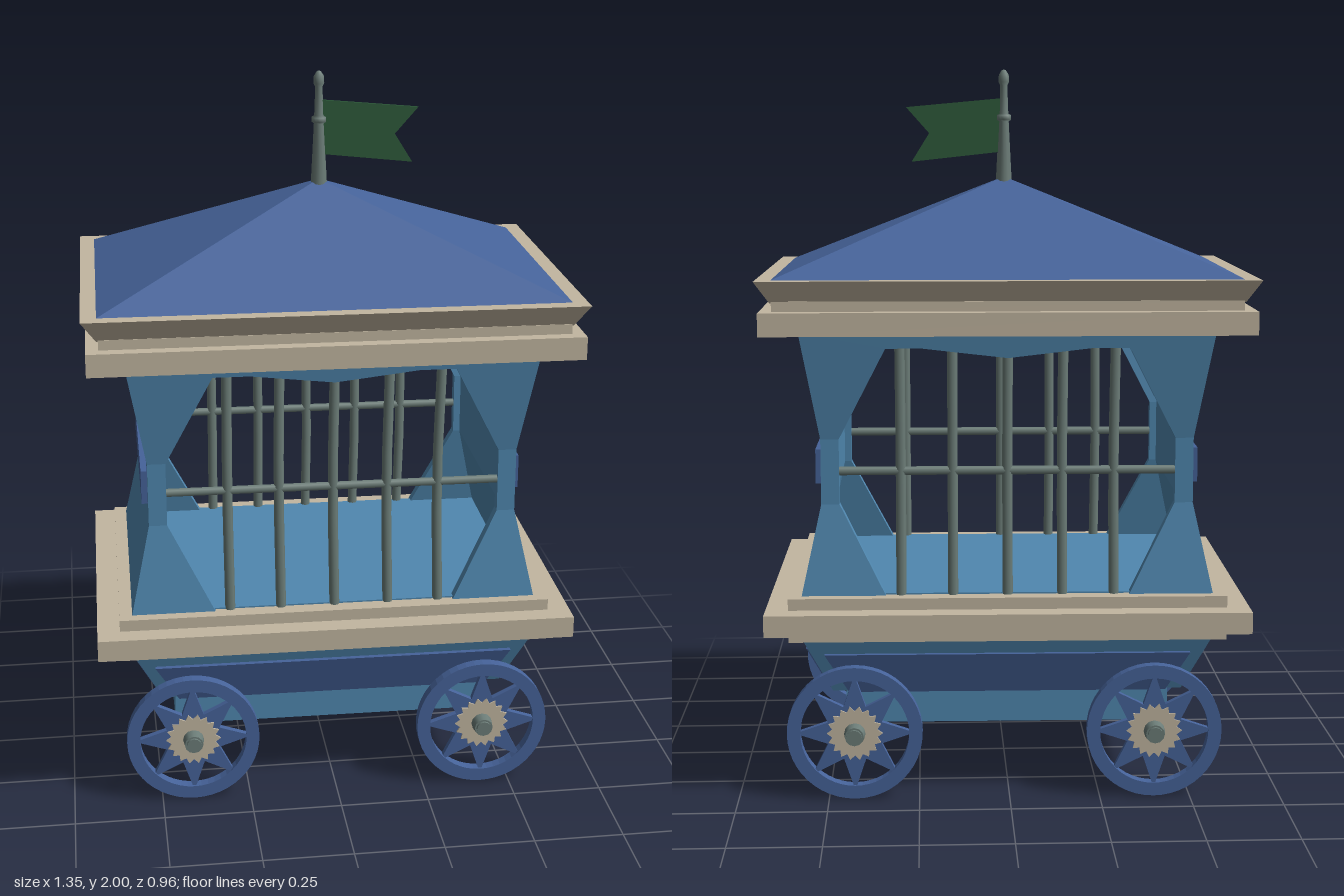
import * as THREE from 'three';

const mat = (name, color) => {
  const m = new THREE.MeshStandardMaterial({ color });
  m.name = name;
  return m;
};

export function createModel() {
  const blue = mat('wall blue', 0x5088b0), navy = mat('roof navy', 0x46639a);
  const beige = mat('trim beige', 0xc2b6a1), iron = mat('iron grey', 0x6c7d78);
  const green = mat('flag green', 0x2d5a3a), gold = mat('gold', 0xd6a143);

  const wagon = new THREE.Group();
  wagon.name = 'wagon';
  const add = (name, geo, material, parent = wagon) => {
    const m = new THREE.Mesh(geo, material);
    m.name = name;
    parent.add(m);
    return m;
  };

  // Four-sided block with different half sizes at bottom and top
  const block = (name, y0, y1, [x0, z0], [x1, z1], material) => {
    const geo = new THREE.BoxGeometry(2, 1, 2);
    const p = geo.attributes.position;
    for (let i = 0; i < p.count; i++) {
      const top = p.getY(i) > 0;
      p.setXYZ(i, p.getX(i) * (top ? x1 : x0), top ? y1 : y0, p.getZ(i) * (top ? z1 : z0));
    }
    geo.computeVertexNormals();
    return add(name, geo, material);
  };

  const shapeOf = pts => new THREE.Shape(pts.map(([x, y]) => new THREE.Vector2(x, y)));
  const extrude = (shape, depth) => new THREE.ExtrudeGeometry(shape, { depth, bevelEnabled: false });

  // Plate whose outer face follows a profile z(y), turned to one side of the wagon
  const plate = (name, pts, depth, profile, turn, material) => {
    const geo = extrude(shapeOf(pts), depth);
    const p = geo.attributes.position;
    for (let i = 0; i < p.count; i++) p.setZ(i, p.getZ(i) - depth + profile(p.getY(i)));
    geo.computeVertexNormals();
    add(name, geo, material).rotation.y = turn;
  };

  // Undercarriage
  block('lowerHull', 0.19, 0.3, [0.45, 0.312], [0.45, 0.312], blue);
  block('upperHull', 0.29, 0.45, [0.485, 0.338], [0.565, 0.385], blue);
  const hullZ = y => 0.338 + (y - 0.29) * 0.294 + 0.014;
  const hullX = y => 0.485 + (y - 0.29) * 0.5 + 0.014;
  for (const turn of [0, Math.PI]) {
    plate('hullPanel', [[-0.44, 0.29], [0.44, 0.29], [0.505, 0.405], [-0.505, 0.405]], 0.03, hullZ, turn, navy);
    plate('hullEndPanel', [[-0.29, 0.285], [0.29, 0.285], [0.33, 0.41], [-0.33, 0.41]], 0.03, hullX, turn + Math.PI / 2, navy);
  }

  // Base and cornice trim
  const straight = (name, y0, y1, s) => block(name, y0, y1, s, s, beige);
  straight('baseLower', 0.45, 0.485, [0.6, 0.415]);
  straight('baseSlab', 0.48, 0.54, [0.662, 0.473]);
  straight('baseUpper', 0.535, 0.572, [0.6, 0.415]);
  straight('corniceSlab', 1.295, 1.358, [0.662, 0.473]);
  straight('corniceNeck', 1.355, 1.385, [0.628, 0.438]);
  block('corniceFlare', 1.38, 1.44, [0.632, 0.434], [0.672, 0.464], beige);
  block('floor', 0.56, 0.576, [0.545, 0.37], [0.545, 0.37], blue);

  // Hipped roof
  block('roof', 1.438, 1.7, [0.635, 0.425], [0.0005, 0.0005], navy);

  // Waisted cabin walls, in three flat bands
  const levels = [0.57, 0.82, 1.0, 1.295];
  const wide = [0.565, 0.51, 0.51, 0.563], deep = [0.383, 0.344, 0.344, 0.383];
  const along = values => y => {
    const i = y <= levels[1] ? 0 : y <= levels[2] ? 1 : 2;
    return THREE.MathUtils.mapLinear(y, levels[i], levels[i + 1], values[i], values[i + 1]);
  };
  const wallX = along(wide), wallZ = along(deep);
  const t = 0.03;
  const opening = [0.333, 0.46, 0.46];
  for (const turn of [0, Math.PI]) {
    for (const s of [-1, 1])
      for (const i of [0, 1]) {
        const pts = [[s * opening[i], levels[i]], [s * wide[i], levels[i]],
          [s * wide[i + 1], levels[i + 1]], [s * opening[i + 1], levels[i + 1]]];
        plate('windowPillar', pts, t, y => i ? 0.344 : wallZ(y), turn, blue);
      }
    plate('windowArch', [[0.46, 1], [0.51, 1], [0.563, 1.295], [-0.563, 1.295], [-0.51, 1], [-0.46, 1],
      [-0.33, 1.252], [-0.23, 1.252], [0, 1.225], [0.23, 1.252], [0.33, 1.252]], t, wallZ, turn, blue);
    for (let i = 0; i < 3; i++) {
      const a = deep[i] - t, b = deep[i + 1] - t;
      plate('endWall', [[-a, levels[i]], [a, levels[i]], [b, levels[i + 1]], [-b, levels[i + 1]]],
        t, wallX, turn + Math.PI / 2, blue);
    }
    plate('endPlaque', [[-0.302, 0.87], [0.302, 0.87], [0.302, 0.965], [-0.302, 0.965]],
      0.04, () => 0.527, turn + Math.PI / 2, navy);

    // Window bars bent to follow the walls
    const barLevels = [0.57, 0.82, 1.0, 1.26];
    for (const x of [-0.292, -0.15, 0, 0.15, 0.292]) {
      const geo = new THREE.CylinderGeometry(0.014, 0.014, 3, 8, 3);
      const p = geo.attributes.position;
      for (let i = 0; i < p.count; i++) {
        const y = barLevels[Math.round(p.getY(i) + 1.5)];
        p.setXYZ(i, p.getX(i) + x, y, p.getZ(i) + wallZ(y) - t / 2);
      }
      add('windowBar', geo, iron).rotation.y = turn;
    }
    const rail = new THREE.CylinderGeometry(0.012, 0.012, 0.94, 8);
    rail.rotateZ(Math.PI / 2).translate(0, 0.91, 0.344 - t / 2);
    add('windowRail', rail, iron).rotation.y = turn;
  }

  // Wheel parts, centred on the axle
  const ring = new THREE.Shape().absarc(0, 0, 0.187, 0, Math.PI * 2, false);
  ring.holes.push(new THREE.Path().absarc(0, 0, 0.15, 0, Math.PI * 2, true));
  const rimGeo = new THREE.ExtrudeGeometry(ring, { depth: 0.03, bevelEnabled: false, curveSegments: 24 }).translate(0, 0, -0.015);
  const star = (n, r0, r1, depth) => {
    const pts = [];
    for (let i = 0; i < n * 2; i++) {
      const a = i * Math.PI / n, r = i % 2 ? r0 : r1;
      pts.push([Math.cos(a) * r, Math.sin(a) * r]);
    }
    return extrude(shapeOf(pts), depth).translate(0, 0, -depth / 2);
  };
  const spokeGeo = star(8, 0.08, 0.165, 0.018);
  const rosetteGeo = star(18, 0.063, 0.077, 0.028);
  const goldGeo = star(18, 0.063, 0.077, 0.006);
  const hubGeo = new THREE.CylinderGeometry(0.026, 0.032, 0.05, 12).rotateX(Math.PI / 2);

  for (const x of [-0.405, 0.423]) {
    const axle = add('axle', new THREE.CylinderGeometry(0.021, 0.021, 0.89, 12).rotateX(Math.PI / 2), iron);
    axle.position.set(x, 0.188, 0);
    for (const s of [-1, 1]) {
      const wheel = new THREE.Group();
      wheel.name = 'wheel';
      wheel.position.set(x, 0.188, s * 0.393);
      if (s < 0) wheel.rotation.y = Math.PI;
      add('rim', rimGeo, navy, wheel);
      add('spokes', spokeGeo, navy, wheel);
      add('rosette', rosetteGeo, beige, wheel);
      add('hub', hubGeo, iron, wheel).position.z = 0.02;
      if (x < 0 && s > 0) add('goldRosette', goldGeo, gold, wheel).position.z = -0.017;
      wagon.add(wheel);
    }
  }

  // Flagpole with collar and finial
  const pole = [[0.023, 1.68], [0.014, 1.855], [0.021, 1.86], [0.021, 1.872], [0.013, 1.877],
    [0.01, 1.955], [0.015, 1.965], [0.014, 1.985], [0.006, 1.998], [0, 2]];
  add('flagpole', new THREE.LatheGeometry(pole.map(([r, y]) => new THREE.Vector2(r, y)), 12), iron);

  // Swallow-tailed pennant
  const flag = shapeOf([[0.005, 1.77], [0.262, 1.742], [0.212, 1.822], [0.277, 1.895], [0.005, 1.92]]);
  add('flag', extrude(flag, 0.009).translate(0, 0, -0.0045), green);

  wagon.rotation.y = -0.011;
  const model = new THREE.Group();
  model.name = 'cageWagon';
  model.add(wagon);
  return model;
}
